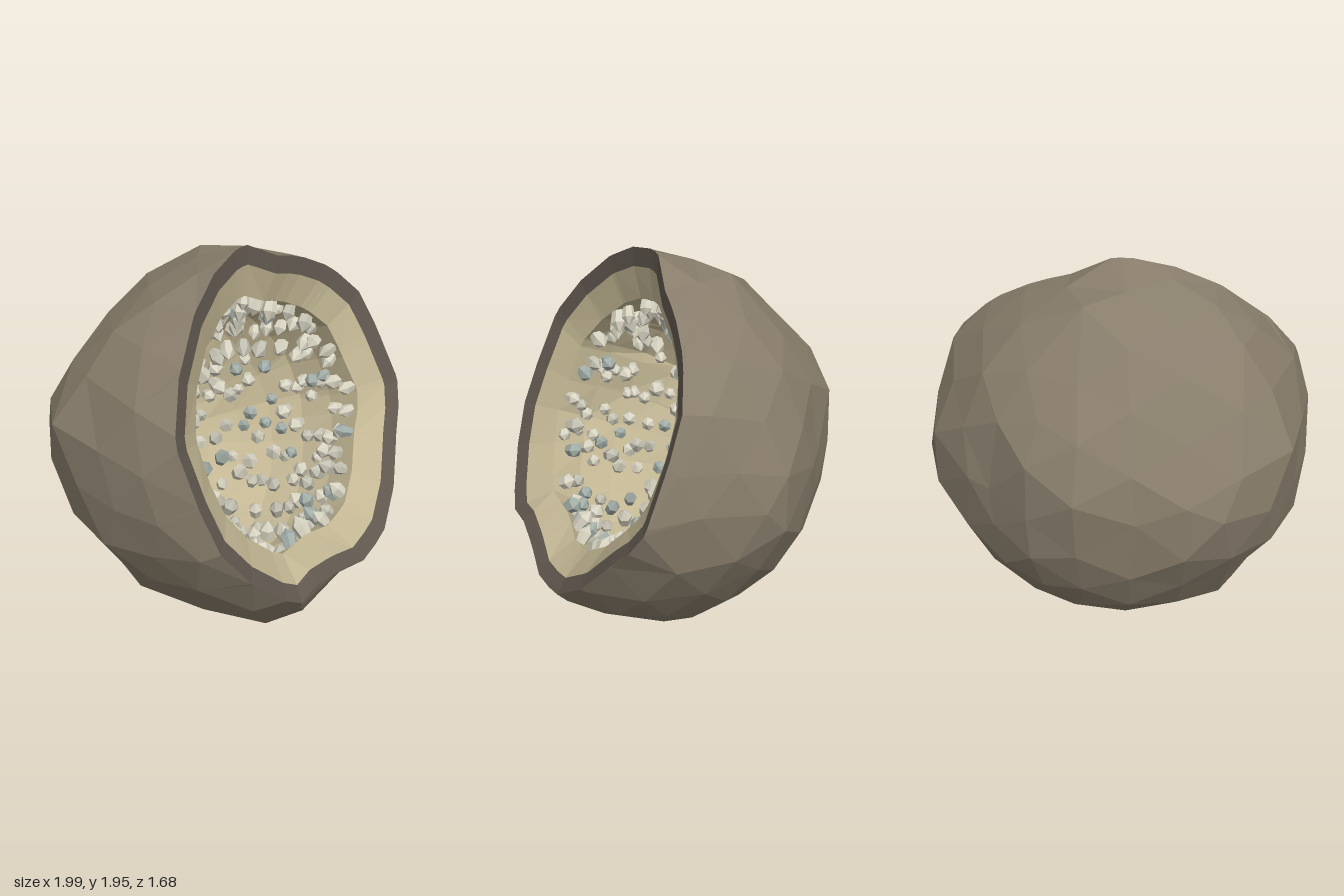
import * as THREE from 'three';
import { mergeGeometries } from 'three/addons/utils/BufferGeometryUtils.js';

const V = (x, y, z) => new THREE.Vector3(x, y, z);
const CENTER = V(0, 0.95, 0.08);

// Plane of the broken face and two axes lying in it
const N = V(0.364, 0.394, 0.844).normalize();
const CUT = 0.797 - N.dot(CENTER); // distance from the centre to the face
const FACE = N.clone().multiplyScalar(CUT);
const U = V(0, 1, 0).cross(N).normalize();
const W = N.clone().cross(U);

// Lumps and dents of the stone: landmarks that its radius passes through
const LANDMARKS = [
  [-0.04, 1.94, 0.07], [-0.5, 1.73, 0.35], [-0.73, 1.4, 0.6], [-0.66, 0.85, 0.79], [-0.33, 0.48, 0.83],
  [0.08, 0.39, 0.71], [0.4, 0.34, 0.61], [0.6, 0.38, 0.52], [0.73, 0.5, 0.4], [0.87, 0.72, 0.24],
  [1.0, 0.95, 0.08], [0.92, 1.22, -0.01], [0.83, 1.46, -0.07], [0.61, 1.66, -0.06], [0.25, 1.81, 0.01],
  [0.44, 1.74, -0.04], [0.4, 1.7, -0.27],
  [-0.69, 1.65, 0], [-0.84, 1.46, 0], [-1, 1.22, -0.08], [-0.95, 0.95, 0.21], [-0.95, 0.72, 0.08],
  [-0.78, 0.47, 0.15], [-0.67, 0.25, 0.1], [-0.27, 0.04, 0.1], [0.17, 0, -0.06],
  [0.41, 0.1, 0], [0.61, 0.27, -0.02], [-0.2, 0.1, 0.55], [-0.28, 0.28, 0.7],
  [-0.15, 1.85, -0.13], [-0.02, 1.83, -0.32], [0.05, 1.64, -0.5], [0, 1.41, -0.7], [-0.18, 1.22, -0.83],
  [0, 0.72, -0.81], [0, 0.49, -0.7], [0, 0.29, -0.55], [0.1, 0.1, -0.31],
  [0.25, 1, -0.74], [0.4, 1, -0.73], [0.79, 0.95, -0.48], [0.92, 1, -0.18], [-0.84, 1, -0.48], [-0.5, 1, -0.69],
].map((p) => {
  const at = V(...p).sub(CENTER);
  return { dir: at.clone().normalize(), r: at.length(), onRim: Math.abs(N.dot(at) - CUT) < 0.1 };
});

function radius(dir) {
  let sum = 0.92 * 0.02, weight = 0.02;
  for (const m of LANDMARKS) {
    const w = Math.exp(80 * (m.dir.dot(dir) - 1));
    sum += w * m.r;
    weight += w;
  }
  return sum / weight;
}

// Corner of the crust: snaps to a landmark that lies close by
function crustPoint(d) {
  const near = LANDMARKS.find((m) => !m.onRim && m.dir.dot(d) > Math.cos(0.135));
  const dir = near ? near.dir : d;
  return dir.clone().multiplyScalar(radius(dir));
}

// Slides a point of the face outwards or inwards to the true radius
function rimPoint(p) {
  for (let i = 0; i < 4; i++) {
    const f = radius(p.clone().normalize()) / p.length();
    p.sub(FACE).multiplyScalar(f).add(FACE);
  }
  return p;
}

function seeded(seed) {
  return () => {
    seed = (seed * 16807) % 2147483647;
    return seed / 2147483647;
  };
}

function facets(points) {
  const g = new THREE.BufferGeometry().setFromPoints(points);
  g.computeVertexNormals();
  return g;
}

function addMesh(parent, name, geometry, color) {
  const mesh = new THREE.Mesh(geometry, new THREE.MeshStandardMaterial({ color, flatShading: true }));
  mesh.name = name;
  mesh.position.copy(CENTER);
  parent.add(mesh);
}

// Lumpy icosphere clipped by the broken face; also returns the cut outline
function buildCrust() {
  const pos = new THREE.IcosahedronGeometry(1, 3).attributes.position;
  const tris = [], edge = [];
  for (let i = 0; i < pos.count; i += 3) {
    const corners = [0, 1, 2].map((k) => crustPoint(V().fromBufferAttribute(pos, i + k).normalize()));
    const poly = [];
    corners.forEach((a, k) => {
      const b = corners[(k + 1) % 3];
      const sa = N.dot(a) - CUT, sb = N.dot(b) - CUT;
      if (sa <= 0) poly.push(a);
      if (sa <= 0 !== sb <= 0) {
        const hit = rimPoint(a.clone().lerp(b, sa / (sa - sb)));
        poly.push(hit);
        if (!edge.some((e) => e.distanceTo(hit) < 1e-4)) edge.push(hit);
      }
    });
    for (let k = 1; k + 1 < poly.length; k++) tris.push(poly[0], poly[k], poly[k + 1]);
  }
  const angle = (p) => Math.atan2(p.dot(W), p.dot(U));
  edge.sort((a, b) => angle(a) - angle(b));
  return { geometry: facets(tris), edge, angles: edge.map(angle) };
}

// Strips of facets joining successive closed loops, facing out of the hollow
function loft(loops) {
  const tris = [];
  for (let k = 0; k + 1 < loops.length; k++) {
    const a = loops[k], b = loops[k + 1];
    for (let i = 0; i < a.length; i++) {
      const j = (i + 1) % a.length;
      tris.push(a[i], a[j], b[i], a[j], b[j], b[i]);
    }
  }
  return facets(tris);
}

// Point of the cavity wall at a polar angle from the face normal
function cavityPoint(polar, azimuth) {
  const d = N.clone().multiplyScalar(Math.cos(polar))
    .addScaledVector(U, Math.sin(polar) * Math.cos(azimuth))
    .addScaledVector(W, Math.sin(polar) * Math.sin(azimuth));
  d.multiplyScalar(0.725 * radius(d));
  d.y += 0.012;
  return d;
}

// Stubby pointed six-sided crystals growing inward from the cavity wall
function buildCrystals(parent, opening) {
  const random = seeded(4711);
  const unit = new THREE.LatheGeometry(
    [[0.026, -0.02], [0.041, 0.058], [0, 0.1]].map((p) => new THREE.Vector2(...p)), 6).toNonIndexed();
  const colors = [0xd8d4c2, 0xc3c1b1, 0xa3aea8];
  const batches = colors.map(() => []);
  const count = 290, golden = Math.PI * (3 - Math.sqrt(5));
  const top = Math.cos(opening + 0.04);
  for (let i = 0; i < count; i++) {
    const t = Math.pow((i + 0.5) / count, 1.2);
    const polar = Math.acos(top - t * (top + 0.995));
    const azimuth = i * golden + (random() - 0.5) * 0.25;
    const wall = cavityPoint(polar, azimuth);
    const inward = wall.clone().normalize().negate();
    inward.add(V(random() - 0.5, random() - 0.5, random() - 0.5).multiplyScalar(0.4)).normalize();
    const turn = new THREE.Quaternion().setFromUnitVectors(V(0, 1, 0), inward)
      .multiply(new THREE.Quaternion().setFromAxisAngle(V(0, 1, 0), random() * Math.PI));
    const s = 0.78 + random() * 0.34;
    const matrix = new THREE.Matrix4().compose(wall, turn, V(s, s * (0.85 + random() * 0.4), s));
    const pick = random();
    batches[pick < 0.5 ? 0 : pick < 0.8 ? 1 : 2].push(unit.clone().applyMatrix4(matrix));
  }
  const names = ['paleCrystals', 'greyCrystals', 'greenCrystals'];
  batches.forEach((b, i) => addMesh(parent, names[i], mergeGeometries(b), colors[i]));
}

export function createModel() {
  const model = new THREE.Group();
  model.name = 'geode';

  // Rough outer crust
  const { geometry, edge, angles } = buildCrust();
  addMesh(model, 'crust', geometry, 0x887d6b);

  // Dark rim and pale band around the opening, dished slightly inward
  const bandLoop = edge.map((p) => p.clone().lerp(FACE, 0.1).addScaledVector(N, -0.03));
  const opening = THREE.MathUtils.degToRad(70);
  const cavityLoop = (polar) => angles.map((a) => cavityPoint(polar, a));
  addMesh(model, 'rim', loft([edge, bandLoop]), 0x625950);
  addMesh(model, 'paleBand', loft([bandLoop, cavityLoop(opening)]), 0xc2b693);

  // Hollow lined with crystals
  const loops = [];
  for (let k = 0; k <= 7; k++) loops.push(cavityLoop(opening + (Math.PI - opening) * (k / 7)));
  addMesh(model, 'cavity', loft(loops), 0xc2b693);
  buildCrystals(model, opening);
  return model;
}
